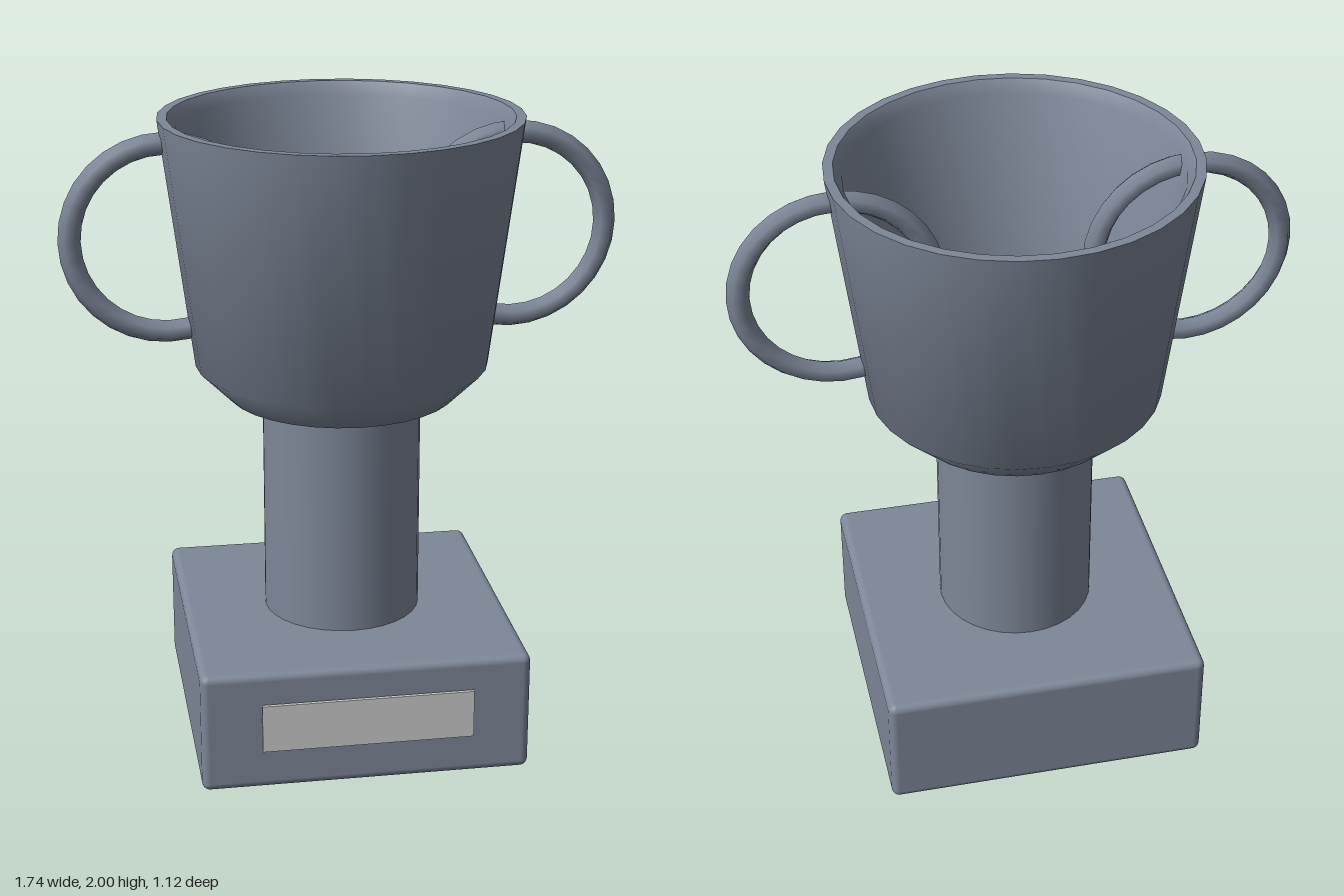
import * as THREE from 'three';
import { toCreasedNormals } from 'three/addons/utils/BufferGeometryUtils.js';
import { RoundedBoxGeometry } from 'three/addons/geometries/RoundedBoxGeometry.js';

export function createModel() {
  const group = new THREE.Group();
  const metal = new THREE.MeshStandardMaterial({ color: 0x7d8798 });
  const pale = new THREE.MeshStandardMaterial({ color: 0xcccccc });

  const add = (name, geometry, material, x, y, z) => {
    const mesh = new THREE.Mesh(geometry, material);
    mesh.name = name;
    mesh.position.set(x, y, z);
    group.add(mesh);
    return mesh;
  };

  // Square plinth with softened edges, and the blank plate in front of it
  add('base', new RoundedBoxGeometry(1.03, 0.39, 1.03, 3, 0.025), metal, 0, 0.2, 0);
  add('plate', new THREE.BoxGeometry(0.66, 0.155, 0.012), pale, 0, 0.222, 0.535);

  // Round column
  add('stem', new THREE.CylinderGeometry(0.25, 0.25, 0.76, 32), metal, 0, 0.76, 0);

  // Hollow cup: outside from the bottom up, over the rim, then down the inside
  const profile = [
    [0, 1.12], [0.36, 1.12], [0.46, 1.22], [0.56, 2],
    [0.53, 2], [0.505, 1.96], [0.435, 1.42], [0.41, 1.32], [0.34, 1.25], [0, 1.2],
  ].map(([r, y]) => new THREE.Vector2(r, y));
  const cup = new THREE.LatheGeometry(profile, 32);
  add('cup', toCreasedNormals(cup, 0.9), metal, 0, 0, 0);

  // Full rings that pass through the cup wall
  for (const side of [-1, 1]) {
    const ring = new THREE.TorusGeometry(0.295, 0.035, 6, 32);
    const handle = add(side > 0 ? 'leftHandle' : 'rightHandle', ring, metal, side * 0.54, 1.635, 0);
    handle.scale.x = 1;
  }

  return group;
}
